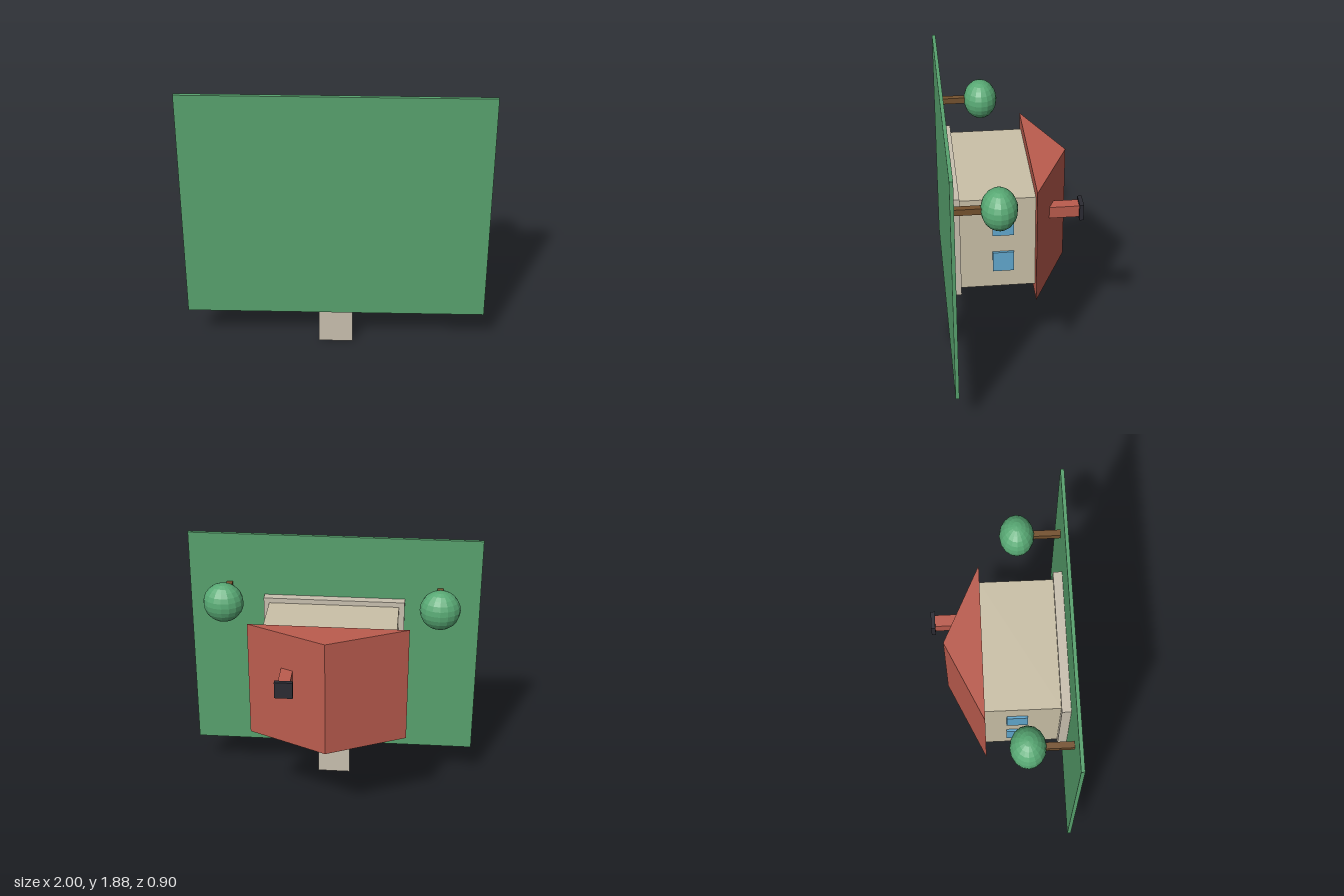
import * as THREE from 'three';

const paint = (name, color) => {
  const m = new THREE.MeshStandardMaterial({ color });
  m.name = name;
  return m;
};

export function createModel() {
  const grass = paint('grass green', 0x58a26e);
  const leaf = paint('leaf green', 0x58a974);
  const wall = paint('wall cream', 0xcbc1a8);
  const stone = paint('stone beige', 0xcac1b0);
  const roofRed = paint('roof red', 0xbb5c4e);
  const wood = paint('wood brown', 0x75522f);
  const glass = paint('glass blue', 0x62a9cf);
  const iron = paint('dark iron', 0x2b2b33);
  leaf.flatShading = true;

  const model = new THREE.Group();
  model.name = 'house';

  // box given by its extents on each axis
  const box = (name, mat, [x0, x1], [y0, y1], [z0, z1]) => {
    const mesh = new THREE.Mesh(new THREE.BoxGeometry(x1 - x0, y1 - y0, z1 - z0), mat);
    mesh.position.set((x0 + x1) / 2, (y0 + y1) / 2, (z0 + z1) / 2);
    mesh.name = name;
    model.add(mesh);
    return mesh;
  };
  const around = (c, half) => [c - half, c + half];

  // The house's upward direction is -z and its entrance faces -y
  box('lawn', grass, [-1, 1], [0.255, 1.88], [0.426, 0.45]);
  box('path', stone, [-0.115, 0.115], [0, 0.625], [0.414, 0.428]);
  box('foundation', stone, [-0.485, 0.485], [0.70, 1.435], [0.366, 0.427]);
  box('walls', wall, [-0.447, 0.447], [0.73, 1.40], [-0.12, 0.368]);
  box('door', wood, [-0.1, 0.1], [0.71, 0.735], [0.09, 0.367]);

  // gable roof
  const gable = new THREE.Shape([
    new THREE.Vector2(-0.532, 0.12),
    new THREE.Vector2(0.532, 0.12),
    new THREE.Vector2(0, 0.367),
  ]);
  const roofGeo = new THREE.ExtrudeGeometry(gable, { depth: 0.825, bevelEnabled: false });
  roofGeo.rotateX(-Math.PI / 2);
  const roof = new THREE.Mesh(roofGeo, roofRed);
  roof.position.y = 0.655;
  roof.name = 'roof';
  model.add(roof);

  // chimney
  box('chimney', roofRed, [0.22, 0.3], [1.14, 1.222], [-0.43, -0.2]);
  box('chimneyCap', iron, [0.2, 0.32], [1.123, 1.238], [-0.452, -0.424]);

  for (const s of [-1, 1]) {
    // side windows
    for (const y of [0.93, 1.205]) {
      box('sideWindow', glass, around(s * 0.452, 0.011), around(y, 0.072), [0.02, 0.157]);
    }

    // front window with ledges and crossbars
    const x = s * 0.27;
    box('frontWindow', glass, around(x, 0.085), [0.71, 0.735], [0.02, 0.16]);
    box('windowLintel', stone, around(x, 0.105), [0.7, 0.735], [0, 0.02]);
    box('windowSill', stone, around(x, 0.11), [0.693, 0.735], [0.165, 0.187]);
    box('windowBarAcross', iron, around(x, 0.085), [0.699, 0.711], around(0.09, 0.007));
    box('windowBarUpright', iron, around(x, 0.007), [0.699, 0.711], [0.02, 0.16]);

    // tree
    box('treeTrunk', wood, around(s * 0.725, 0.021), around(1.505, 0.021), [0.15, 0.428]);
    const crown = new THREE.Mesh(new THREE.SphereGeometry(0.136, 16, 12), leaf);
    crown.scale.z = 0.85;
    crown.position.set(s * 0.725, 1.505, 0.138);
    crown.name = 'treeCrown';
    model.add(crown);
  }

  return model;
}
